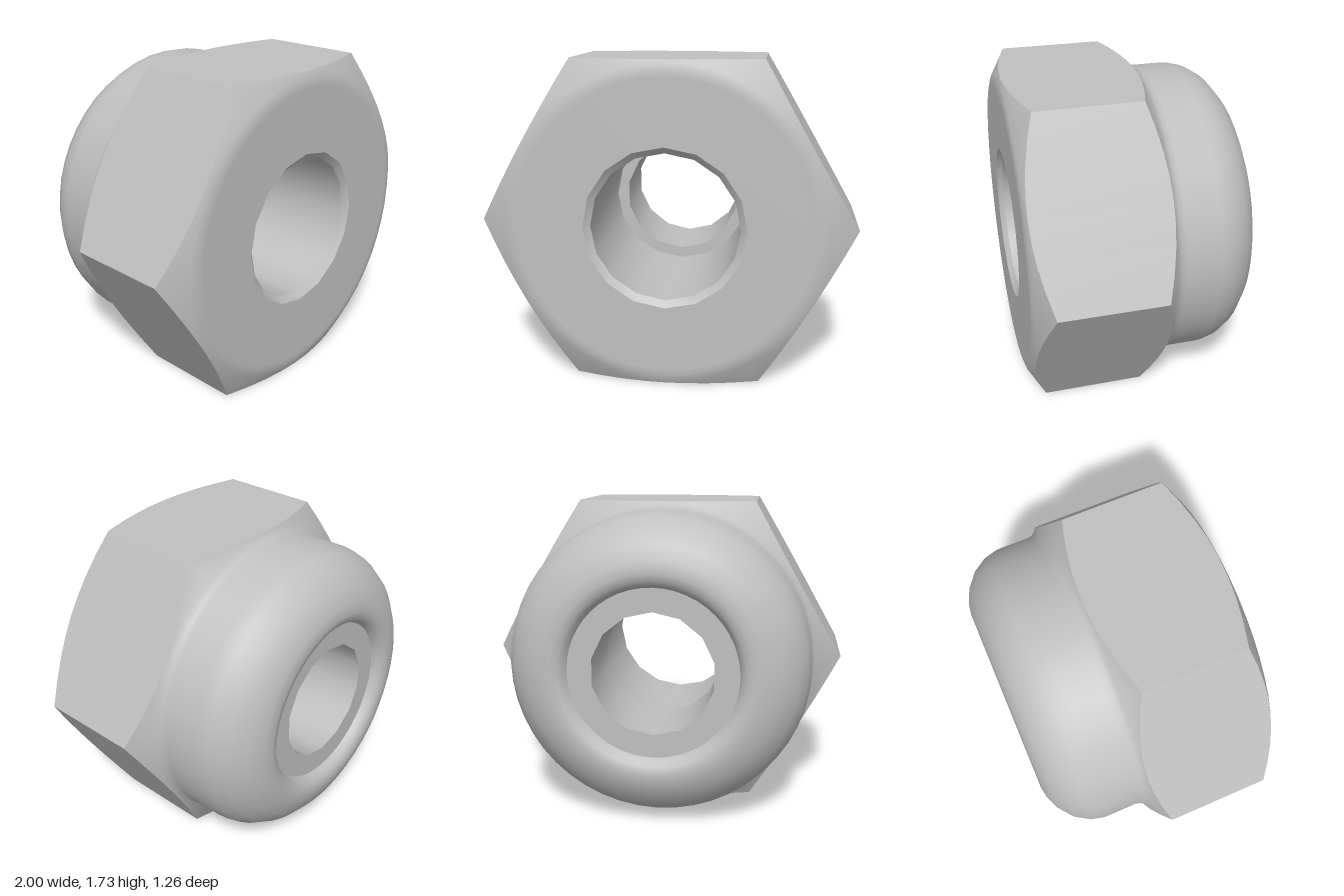
import * as THREE from 'three';
import { toCreasedNormals } from 'three/addons/utils/BufferGeometryUtils.js';

const APOTHEM = Math.sqrt(3) / 2;
const SEGMENTS = 48;
const SLOPE = 0.6; // chamfer rise per unit of radius

// Revolve [radius, z] points about the z axis; rising z faces outward
function revolve(profile, segments) {
  const points = profile.map(([r, z]) => new THREE.Vector2(r, z));
  return new THREE.LatheGeometry(points, segments).rotateX(Math.PI / 2);
}

// Pull the radius-1 rings in to a hexagon, sliding them along the chamfer cone
function squeezeToHexagon(geometry) {
  const pos = geometry.attributes.position;
  for (let i = 0; i < pos.count; i++) {
    const x = pos.getX(i), y = pos.getY(i), z = pos.getZ(i);
    if (Math.hypot(x, y) < 0.95) continue;
    const angle = Math.atan2(y, x) + 2 * Math.PI + 1e-6;
    const r = APOTHEM / Math.cos((angle % (Math.PI / 3)) - Math.PI / 6);
    const shift = (1 - r) * SLOPE * (z > 0.2 ? 1 : -1);
    pos.setXYZ(i, x * r, y * r, z + shift);
  }
  return geometry;
}

function circlePoints(radius, count) {
  return Array.from({ length: count }, (_, i) => {
    const a = (i / count) * Math.PI * 2;
    return new THREE.Vector2(Math.cos(a) * radius, Math.sin(a) * radius);
  });
}

export function createModel() {
  const steel = new THREE.MeshStandardMaterial({ color: 0xc0c0c0 });
  steel.name = 'steel grey';

  const nut = new THREE.Group();
  nut.name = 'lockNut';
  nut.position.y = APOTHEM;

  function add(name, geometry) {
    const mesh = new THREE.Mesh(toCreasedNormals(geometry, 0.7), steel);
    mesh.name = name;
    nut.add(mesh);
  }

  // Rolled rear collar, fillet, hexagon and front chamfer in one shell
  add('hexBodyAndCollar', squeezeToHexagon(revolve([
    [0.46, -0.57], [0.475, -0.6], [0.5, -0.621], [0.54, -0.63],
    [0.6, -0.62], [0.68, -0.585], [0.76, -0.52], [0.81, -0.44],
    [0.83, -0.36], [0.83, -0.17], [0.838, -0.14], [0.853, -0.118],
    [1, -0.03], [1, 0.53],
    [0.85, 0.618], [0.81, 0.63], [0.78, 0.63],
  ], SEGMENTS)));

  // Flat front with the bore opening
  const face = new THREE.Shape(circlePoints(0.78, SEGMENTS));
  face.holes.push(new THREE.Path(circlePoints(0.43, 16)));
  add('frontFace', new THREE.ShapeGeometry(face).translate(0, 0, 0.63));

  // Chamfered bore
  add('bore', revolve([[0.43, 0.63], [0.395, 0.6], [0.395, -0.15]], 16));

  // Narrower locking ring held under the collar lip
  add('lockingInsert', revolve(
    [[0.42, -0.15], [0.333, -0.15], [0.333, -0.57], [0.5, -0.57]], 14));

  const model = new THREE.Group();
  model.name = 'model';
  model.add(nut);
  return model;
}
